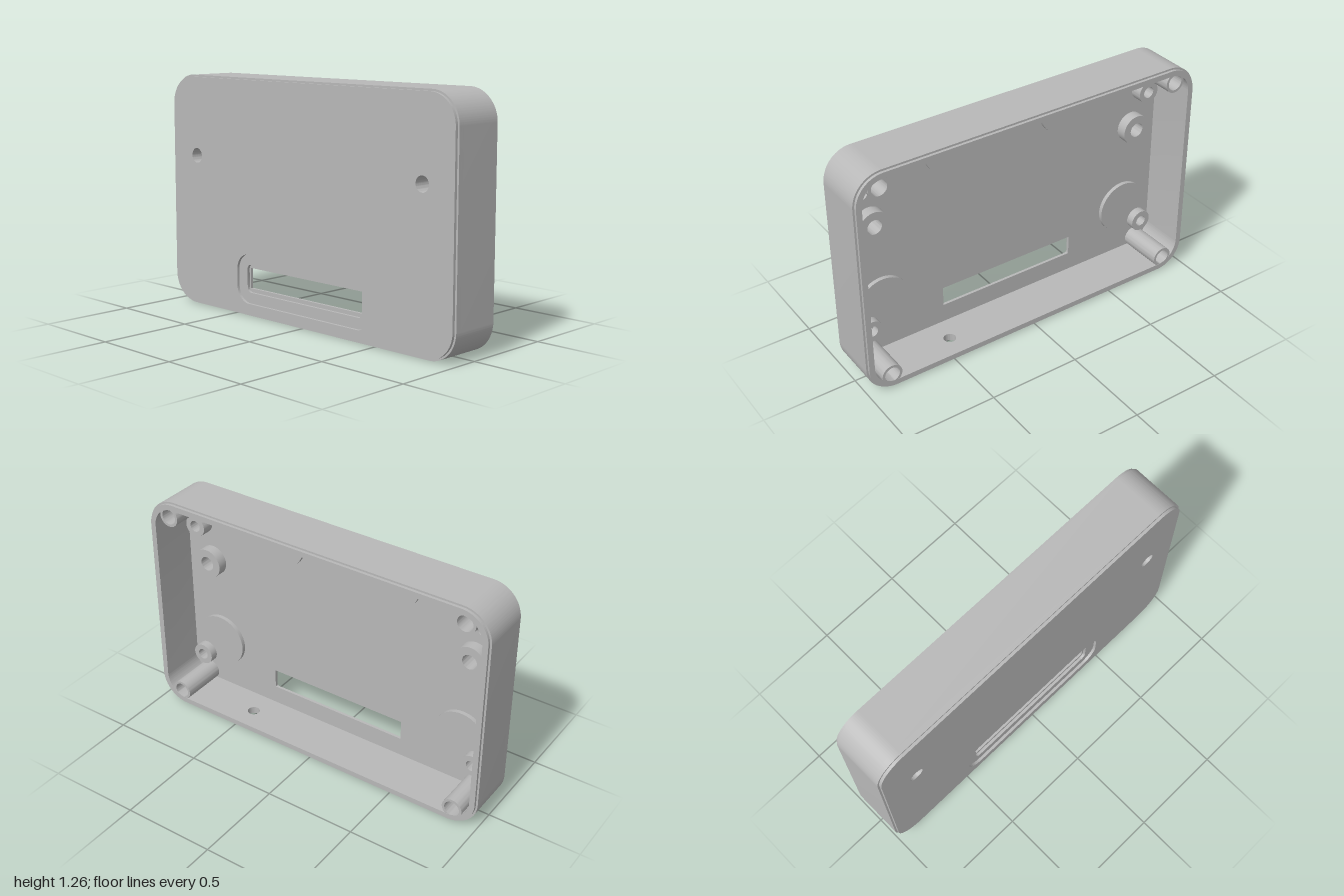
import * as THREE from 'three';
import { toCreasedNormals } from 'three/addons/utils/BufferGeometryUtils.js';

const H = 1.26, CY = H / 2;                 // case height and its middle
const R = 0.16, WALL = 0.04, LIP = 0.01;    // corner radius, wall thickness, edge step
const BACK = -0.152, BACK_STEP = -0.137;    // z levels from back to front
const FLOOR = 0.107, SLOT_STEP = 0.122, FRONT_STEP = 0.137, FRONT = 0.152;

const casing = new THREE.MeshStandardMaterial({ color: 0xb8b8b8 });
casing.name = 'casing grey';

// Rounded rectangle centred on (cx, cy)
function roundRect(cx, cy, hw, hh, r, Type = THREE.Shape) {
  const s = new Type();
  s.moveTo(cx + hw, cy - hh + r);
  s.absarc(cx + hw - r, cy + hh - r, r, 0, Math.PI / 2);
  s.absarc(cx - hw + r, cy + hh - r, r, Math.PI / 2, Math.PI);
  s.absarc(cx - hw + r, cy - hh + r, r, Math.PI, Math.PI * 1.5);
  s.absarc(cx + hw - r, cy - hh + r, r, Math.PI * 1.5, Math.PI * 2);
  s.closePath();
  return s;
}

function rect(x0, y0, x1, y1, Type = THREE.Shape) {
  return new Type([[x0, y0], [x1, y0], [x1, y1], [x0, y1]].map(p => new THREE.Vector2(...p)));
}

function circle(x, y, r, Type = THREE.Shape) {
  const c = new Type();
  c.absarc(x, y, r, 0, Math.PI * 2);
  return c;
}

const outline = inset => roundRect(0, CY, 1 - inset, CY - inset, R - inset);

// Extrude a shape between two depths, smooth round corners, keep hard edges
function slab(shape, from, to, holes = []) {
  shape.holes.push(...holes);
  const g = new THREE.ExtrudeGeometry(shape, { depth: to - from, bevelEnabled: false, curveSegments: 24 });
  g.translate(0, 0, from);
  return g;
}

export function createModel() {
  const model = new THREE.Group();
  model.name = 'enclosure';

  function add(name, geometry) {
    const mesh = new THREE.Mesh(toCreasedNormals(geometry, 0.5), casing);
    mesh.name = name;
    model.add(mesh);
  }

  // Hollow round post standing on the inside of the front panel
  const post = (name, x, y, r, hole, back) =>
    add(name, slab(circle(x, y, r), back, FLOOR, [circle(x, y, hole, THREE.Path)]));

  // Front panel in three layers, giving the stepped slot recess and the edge step
  const screwHoles = () => [-0.8, 0.8].map(x => circle(x, 0.825, 0.04, THREE.Path));
  add('frontPanelInner', slab(outline(0), FLOOR, SLOT_STEP,
    [rect(-0.405, 0.145, 0.405, 0.255, THREE.Path), ...screwHoles()]));
  add('frontPanelMiddle', slab(outline(0), SLOT_STEP, FRONT_STEP,
    [roundRect(0, 0.2, 0.415, 0.075, 0.025, THREE.Path), ...screwHoles()]));
  add('frontPanelOuter', slab(outline(LIP), FRONT_STEP, FRONT,
    [roundRect(0, 0.2, 0.48, 0.133, 0.09, THREE.Path), ...screwHoles()]));

  // Side walls with the rounded corners
  const innerR = R - WALL, cornerX = 1 - R;
  for (const side of [1, -1]) {
    const s = new THREE.Shape();
    const a = side > 0 ? 0 : Math.PI, q = side * Math.PI / 2, cx = side * cornerX;
    s.moveTo(cx, 0);
    s.absarc(cx, R, R, a - q, a, side < 0);
    s.absarc(cx, H - R, R, a, a + q, side < 0);
    s.lineTo(cx, H - WALL);
    s.absarc(cx, H - R, innerR, a + q, a, side > 0);
    s.absarc(cx, R, innerR, a, a - q, side > 0);
    s.closePath();
    add(side > 0 ? 'leftWall' : 'rightWall', slab(s, BACK_STEP, FLOOR));
  }

  // Bottom wall with a small cable hole; top wall with a shallow pocket inside
  const flat = (y0, y1, hole) => slab(rect(-cornerX, -FLOOR, cornerX, -BACK_STEP), y0, y1,
    hole ? [hole] : []).rotateX(-Math.PI / 2);
  add('bottomWall', flat(0, WALL, circle(0.457, 0.03, 0.033, THREE.Path)));
  add('topWallInner', flat(H - WALL, H - 0.022, rect(0.24, -0.055, 0.64, 0.104, THREE.Path)));
  add('topWallOuter', flat(H - 0.022, H));

  // Stepped rim around the open back
  add('backRim', slab(outline(LIP), BACK, BACK_STEP,
    [roundRect(0, CY, 1 - WALL, CY - WALL, innerR, THREE.Path)]));

  // Posts, bosses and pads inside, mirrored left and right
  for (const side of [1, -1]) {
    for (const up of [1, -1]) {
      post('cornerPost', side * 0.866, CY + up * 0.548, 0.056, 0.042, BACK + 0.001);
      post('boardBoss', side * 0.86, CY + up * 0.408, 0.06, 0.031, 0.04);
    }
    post('screwBoss', side * 0.8, 0.825, 0.083, 0.04, 0.05);
    add('upperPad', slab(circle(side * 0.342, 1.1, 0.148), 0.085, FLOOR));
    add('lowerPad', slab(circle(side * 0.76, 0.33, 0.148), 0.085, FLOOR));
  }
  return model;
}
